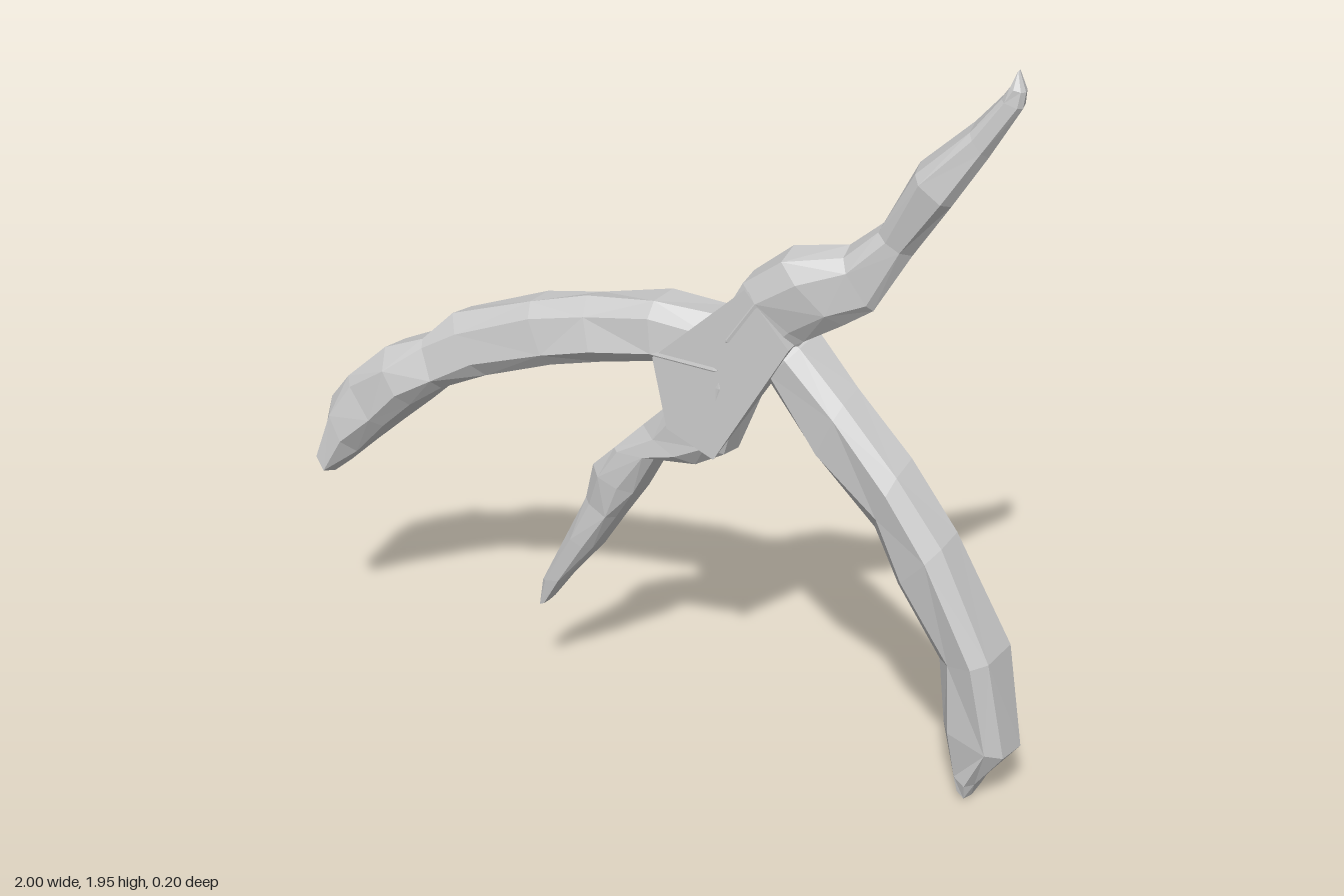
import * as THREE from 'three';
import { ConvexGeometry } from 'three/addons/geometries/ConvexGeometry.js';

// Knobbly, boxy cross-section: [across, depth]
const PROFILE = [[1, 0.5], [0.75, 0.92], [-0.45, 1], [-0.95, 0.7], [-1, -0.35], [-0.6, -0.95], [0.35, -1], [0.92, -0.75]];

function seeded(seed) {
  let s = seed;
  return () => (s = (s * 16807) % 2147483647) / 2147483647;
}

// Loft a branch through stations [ax, ay, bx, by, zBack, zFront]; a and b are its two edges
function branch(name, stations, seed, material) {
  const rand = seeded(seed), n = PROFILE.length, positions = [], index = [];
  const centre = ([ax, ay, bx, by, z0, z1]) => [(ax + bx) / 2, (ay + by) / 2, (z0 + z1) / 2];
  const jitter = (k, amount) => (Math.abs(k) === 1 ? k : k * (1 - amount * rand()));
  stations.forEach((st, s) => {
    const [ax, ay, bx, by, z0, z1] = st, c = centre(st);
    for (let i = 0; i < n; i++) {
      // Every second ring is turned half round for an uneven surface
      const sign = s % 2 ? -1 : 1, [u, w] = PROFILE[s % 2 ? (i + n / 2) % n : i];
      const ku = sign * jitter(u, 0.2), kw = sign * jitter(w, 0.25);
      positions.push(c[0] + ku * (ax - bx) / 2, c[1] + ku * (ay - by) / 2, c[2] + kw * (z1 - z0) / 2);
    }
  });
  stations.slice(1).forEach((_, s) => {
    for (let i = 0; i < n; i++) {
      const j = (i + 1) % n, p = s * n, q = p + n;
      if ((i + s) % 2) index.push(q + i, q + j, p + j, q + i, p + j, p + i);
      else index.push(q + i, q + j, p + i, q + j, p + j, p + i);
    }
  });
  // End caps
  const last = (stations.length - 1) * n, c0 = positions.length / 3;
  positions.push(...centre(stations[0]), ...centre(stations[stations.length - 1]));
  for (let i = 0; i < n; i++) {
    const j = (i + 1) % n;
    index.push(c0, i, j, c0 + 1, last + j, last + i);
  }
  const geometry = new THREE.BufferGeometry();
  geometry.setAttribute('position', new THREE.Float32BufferAttribute(positions, 3));
  geometry.setIndex(index);
  geometry.computeVertexNormals();
  const mesh = new THREE.Mesh(geometry, material);
  mesh.name = name;
  return mesh;
}

export function createModel() {
  const group = new THREE.Group();
  group.name = 'driftwoodBranch';
  const material = new THREE.MeshStandardMaterial({ color: 0xcccccc, flatShading: true });

  // Long limb arching out to the right: upper edge, lower edge
  const longLimb = [
    [0.34, 1.19, 0.3, 1.08, -0.09, 0.08],
    [0.17, 1.21, 0.2, 1.02, -0.1, 0.1],
    [0.0, 1.22, 0.02, 1.05, -0.1, 0.1],
    [-0.2, 1.19, -0.14, 1.01, -0.1, 0.1],
    [-0.36, 1.145, -0.28, 0.98, -0.1, 0.09],
    [-0.6, 1.06, -0.47, 0.9, -0.1, 0.08],
    [-0.68, 0.98, -0.62, 0.845, -0.09, 0.08],
    [-0.8, 0.93, -0.7, 0.77, -0.1, 0.1],
    [-0.91, 0.83, -0.78, 0.7, -0.1, 0.1],
    [-0.975, 0.75, -0.88, 0.61, -0.1, 0.1],
    [-1.0, 0.6, -0.955, 0.54, -0.09, 0.1],
  ];
  // Thick curved leg on the left: inner edge, outer edge
  const thickLeg = [
    [0.24, 1.1, 0.35, 1.2, -0.09, 0.06],
    [0.3, 1.06, 0.41, 1.18, -0.1, 0.08],
    [0.45, 0.88, 0.53, 1.06, -0.08, 0.09],
    [0.61, 0.72, 0.68, 0.9, -0.06, 0.1],
    [0.68, 0.58, 0.805, 0.72, -0.08, 0.1],
    [0.79, 0.38, 0.95, 0.42, -0.1, 0.1],
    [0.81, 0.2, 0.995, 0.14, -0.1, 0.08],
    [0.83, 0.06, 0.915, 0.04, -0.1, 0.07],
    [0.855, 0.02, 0.895, 0.0, -0.09, 0.06],
  ];
  // Short tapering leg in the middle: right edge, left edge
  const shortLeg = [
    [0.04, 1.14, 0.28, 1.12, -0.06, 0.09],
    [0.04, 1.04, 0.29, 1.04, -0.07, 0.1],
    [0.04, 0.94, 0.21, 0.83, -0.07, 0.09],
    [-0.04, 0.86, 0.13, 0.79, -0.07, 0.08],
    [-0.12, 0.78, 0.02, 0.79, -0.07, 0.07],
    [-0.19, 0.71, -0.05, 0.66, -0.07, 0.065],
    [-0.21, 0.61, -0.11, 0.57, -0.07, 0.055],
    [-0.27, 0.49, -0.18, 0.46, -0.06, 0.045],
    [-0.35, 0.325, -0.27, 0.35, -0.055, 0.03],
    [-0.37, 0.24, -0.335, 0.26, -0.05, 0.01],
  ];
  // Upright arm: right-hand edge, left-hand edge seen from the front
  const upperArm = [
    [0.3, 1.07, 0.17, 1.15, -0.07, 0.08],
    [0.33, 1.1, 0.17, 1.21, -0.08, 0.1],
    [0.41, 1.19, 0.25, 1.33, -0.06, 0.1],
    [0.51, 1.25, 0.35, 1.41, -0.06, 0.1],
    [0.585, 1.3, 0.5, 1.44, -0.055, 0.075],
    [0.67, 1.45, 0.585, 1.51, -0.06, 0.055],
    [0.77, 1.6, 0.67, 1.68, -0.065, 0.075],
    [0.85, 1.73, 0.8, 1.8, -0.05, 0.045],
    [0.925, 1.86, 0.87, 1.88, -0.035, 0.03],
    [0.93, 1.9, 0.89, 1.91, -0.025, 0.025],
    [0.91, 1.95, 0.905, 1.945, -0.004, 0.004],
  ];
  // Flat-faced junction joining the four branches
  const front = [[0.17, 1.2], [0.02, 1.09], [0.06, 0.9], [0.19, 0.84], [0.3, 1.05], [0.39, 1.18], [0.27, 1.32]];
  const back = [[0.17, 1.18], [0.08, 1.08], [0.3, 1.08], [0.38, 1.17]];
  const corners = [
    ...front.map(([x, y]) => new THREE.Vector3(x, y, 0.098)),
    ...back.map(([x, y]) => new THREE.Vector3(x, y, -0.095)),
  ];
  const junction = new THREE.Mesh(new ConvexGeometry(corners), material);
  junction.name = 'junction';

  group.add(
    junction,
    branch('longLimb', longLimb, 11, material),
    branch('thickLeg', thickLeg, 23, material),
    branch('shortLeg', shortLeg, 37, material),
    branch('upperArm', upperArm, 53, material),
  );
  return group;
}
